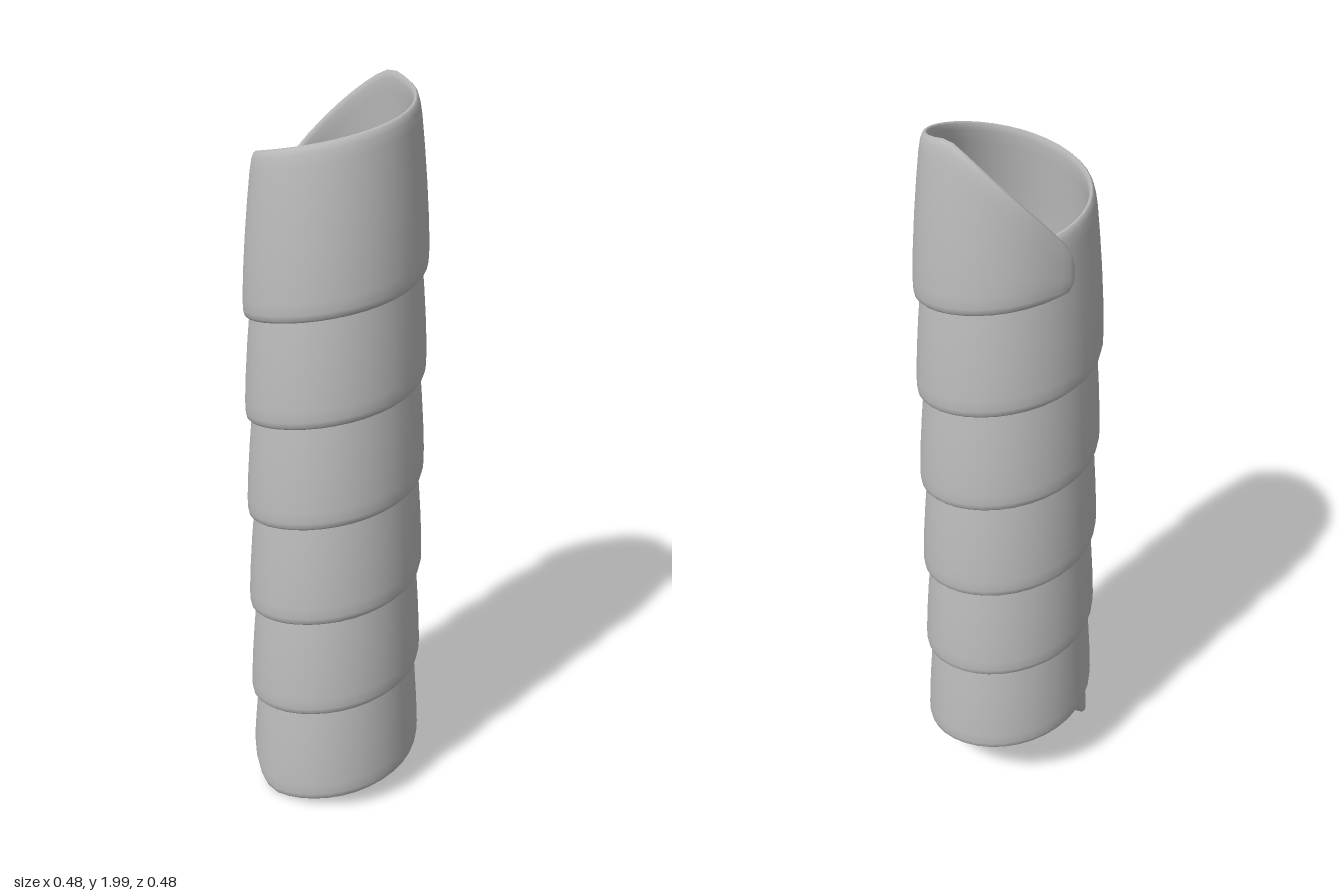
import * as THREE from 'three';

const PITCH = 0.285, HEIGHT = 0.43, TURNS = 6, PER_TURN = 36;
const HALF_THICK = 0.0105;

// Band section: [fraction of height, offset from that edge, side: 1 outer, -1 inner]
const SECTION = [
  [0, 0, 0], [0, 0.006, 0.55], [0, 0.02, 0.88], [0, 0.05, 1],
  [0.25, 0.02, 1], [0.5, 0, 1], [0.75, -0.02, 1],
  [1, -0.05, 1], [1, -0.02, 0.85], [1, -0.005, 0.5], [1, 0, 0],
  [1, -0.005, -0.5], [1, -0.02, -0.85], [1, -0.05, -1],
  [0.75, -0.02, -1], [0.5, 0, -1], [0.25, 0.02, -1],
  [0, 0.05, -1], [0, 0.02, -0.88], [0, 0.006, -0.55],
];

// The band leans inward towards its top edge
const midRadius = (h) => 0.230 - 0.033 * Math.pow(Math.max(h, 0) / HEIGHT, 1.6);

// How far the edge is cut away over the last quarter turn at each end
function taper(angle) {
  const t = THREE.MathUtils.clamp(angle / (Math.PI / 2), 0, 1);
  return 0.35 * Math.pow(t, 1.4);
}

function spiralBand() {
  const start = -Math.PI / 2 + 0.06;
  const end = start + TURNS * Math.PI * 2 - 0.12;
  const n = TURNS * PER_TURN, m = SECTION.length;
  const angles = [];
  for (let i = 0; i <= n; i++) angles.push(start + ((end - start) * i) / n);
  // extra rings round off the two blunt tips
  angles.splice(1, 0, start + 0.02, start + 0.07);
  angles.splice(angles.length - 1, 0, end - 0.07, end - 0.02);
  angles.sort((a, b) => a - b);

  const pos = [], idx = [];
  const put = (phi, r, y) => pos.push(-r * Math.cos(phi), y, r * Math.sin(phi));
  const lastQuarter = end - Math.PI / 2 + 0.06;

  for (const phi of angles) {
    const toTip = Math.min(phi - start, end - phi);
    const corner = 0.025 * Math.pow(1 - Math.min(toTip / 0.08, 1), 2);
    const lo = taper(-phi) + corner;
    const hi = HEIGHT - taper(phi - lastQuarter) - corner;
    const size = hi - lo, s = Math.min(1, size / 0.2);
    const thick = HALF_THICK * (1 - 0.4 * Math.pow(1 - Math.min(toTip / 0.05, 1), 2));
    const base = 0.003 + (PITCH * phi) / (Math.PI * 2);
    for (const [f, dh, side] of SECTION) {
      const h = lo + f * size + dh * s;
      put(phi, midRadius(h) + side * thick, base + h);
    }
  }

  const rings = angles.length;
  for (let i = 0; i < rings - 1; i++) {
    for (let j = 0; j < m; j++) {
      const k = (j + 1) % m;
      const a = i * m + j, b = (i + 1) * m + j, c = i * m + k, d = (i + 1) * m + k;
      idx.push(a, b, c, b, d, c);
    }
  }

  // End caps
  for (const [ring, flip] of [[0, false], [rings - 1, true]]) {
    const o = ring * m;
    for (let j = 1; j < m / 2; j++) {
      const a = o + j - 1, b = o + j, c = o + ((m - j) % m), d = o + ((m - j + 1) % m);
      const tris = j === 1 ? [[a, b, c]] : [[a, b, c], [a, c, d]];
      for (const [p, q, r] of tris) idx.push(...(flip ? [p, r, q] : [p, q, r]));
    }
    const p = o + m / 2 - 1, q = o + m / 2, r = o + m / 2 + 1;
    idx.push(...(flip ? [p, r, q] : [p, q, r]));
  }

  const g = new THREE.BufferGeometry();
  g.setAttribute('position', new THREE.Float32BufferAttribute(pos, 3));
  g.setIndex(idx);
  g.computeVertexNormals();
  return g;
}

export function createModel() {
  const group = new THREE.Group();
  group.name = 'spiralWrap';
  const grey = new THREE.MeshStandardMaterial({ color: 0xbcbcbc });
  grey.name = 'grey';
  const band = new THREE.Mesh(spiralBand(), grey);
  band.name = 'spiralBand';
  group.add(band);
  return group;
}
